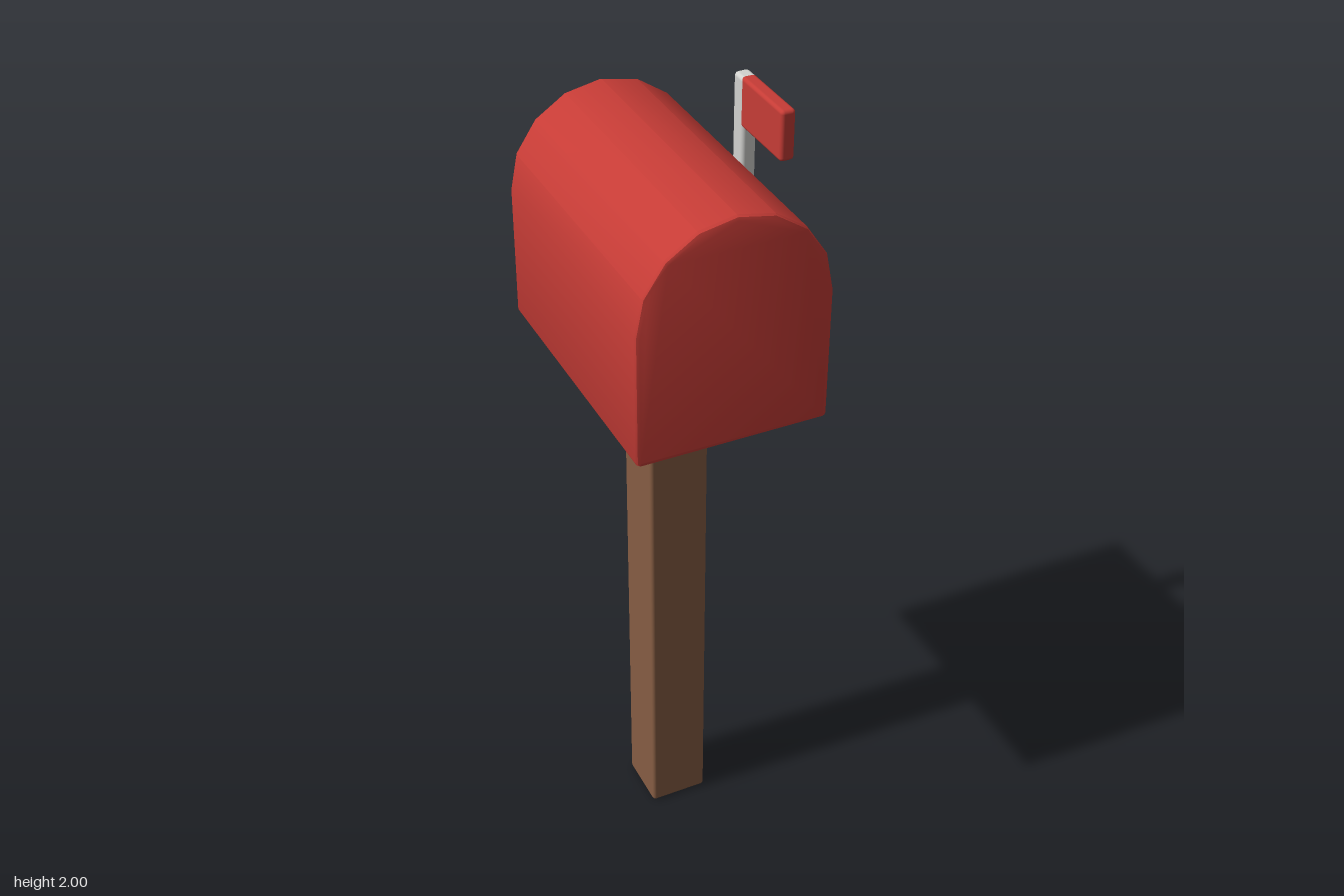
import * as THREE from 'three';
import { RoundedBoxGeometry } from 'three/addons/geometries/RoundedBoxGeometry.js';
import { toCreasedNormals } from 'three/addons/utils/BufferGeometryUtils.js';

const CX = -0.024; // post and box sit slightly off centre to make room for the flag

// Rounded box given by its min and max corners
function roundedBox(name, material, min, max, radius) {
  const s = max.map((v, i) => v - min[i]);
  const mesh = new THREE.Mesh(new RoundedBoxGeometry(s[0], s[1], s[2], 2, radius), material);
  mesh.position.set(...max.map((v, i) => (v + min[i]) / 2));
  mesh.name = name;
  return mesh;
}

// Arched mailbox body: straight sides topped by an eight-sided half circle
function createBody(material) {
  const r = 0.234, bottom = 1.378, spring = 1.711, depth = 0.714, bevel = 0.01;
  const points = [
    [-r, bottom + bevel], [-r + 0.003, bottom + 0.003], [-r + bevel, bottom],
    [r - bevel, bottom], [r - 0.003, bottom + 0.003], [r, bottom + bevel],
  ].map(([x, y]) => new THREE.Vector2(x, y));
  for (let i = 0; i <= 8; i++) {
    const a = (i / 8) * Math.PI;
    points.push(new THREE.Vector2(r * Math.cos(a), spring + r * Math.sin(a)));
  }
  const geometry = new THREE.ExtrudeGeometry(new THREE.Shape(points), {
    depth: depth - 2 * bevel,
    bevelEnabled: true,
    bevelSize: bevel,
    bevelOffset: -bevel,
    bevelThickness: bevel,
    bevelSegments: 2,
  });
  geometry.translate(CX, 0, -depth / 2 + bevel);
  const mesh = new THREE.Mesh(toCreasedNormals(geometry, 0.45), material);
  mesh.name = 'mailboxBody';
  return mesh;
}

export function createModel() {
  const red = new THREE.MeshStandardMaterial({ name: 'red paint', color: 0xc63c36 });
  const wood = new THREE.MeshStandardMaterial({ name: 'brown wood', color: 0x865d43 });
  const white = new THREE.MeshStandardMaterial({ name: 'pale metal', color: 0xd2d2cf });

  const model = new THREE.Group();
  model.name = 'mailbox';

  // Square post and the box on top of it
  model.add(roundedBox('post', wood, [CX - 0.076, 0, -0.076], [CX + 0.076, 1.385, 0.076], 0.009));
  model.add(createBody(red));

  // Raised signal flag beside the box
  const flag = new THREE.Group();
  flag.name = 'signalFlag';
  flag.add(roundedBox('flagPole', white, [0.218, 1.613, -0.156], [0.256, 1.999, -0.107], 0.01));
  flag.add(roundedBox('flagPlate', red, [0.219, 1.877, -0.122], [0.255, 2, 0.077], 0.009));
  model.add(flag);

  return model;
}
